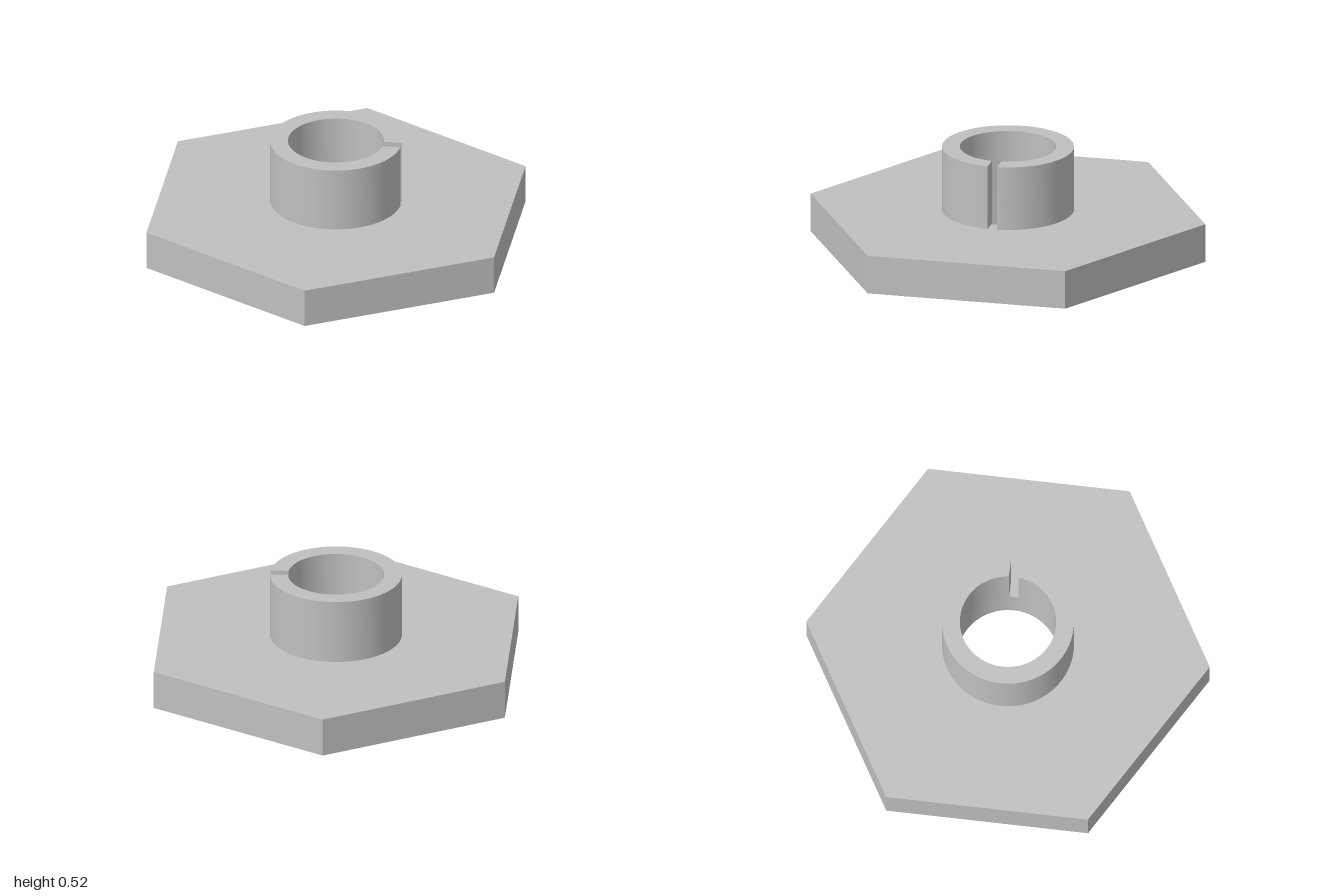
import * as THREE from 'three';
import { toCreasedNormals } from 'three/addons/utils/BufferGeometryUtils.js';

const PLATE_TOP = 0.195, COLLAR_TOP = 0.52;
const BORE = 0.237, OUTER = 0.325, PLATE_HOLE = 0.25, HALF_SLOT = 0.024;

// Extrudes a plan shape upwards from y0 to y1, smoothing only the curved walls
function extrudeUp(shape, y0, y1) {
  const geo = new THREE.ExtrudeGeometry(shape, { depth: y1 - y0, bevelEnabled: false, curveSegments: 64 });
  geo.rotateX(-Math.PI / 2);
  geo.translate(0, y0, 0);
  return toCreasedNormals(geo, Math.PI / 6);
}

export function createModel() {
  const group = new THREE.Group();
  group.name = 'hexFlangeBushing';
  const metal = new THREE.MeshStandardMaterial({ color: 0xc0c0c0 });
  metal.name = 'grey metal';

  // Hexagonal plate, corners towards front and back, with a round hole
  const hex = new THREE.Shape();
  for (let i = 0; i < 6; i++) {
    const a = Math.PI / 2 + (i * Math.PI) / 3;
    if (i === 0) hex.moveTo(Math.cos(a), Math.sin(a));
    else hex.lineTo(Math.cos(a), Math.sin(a));
  }
  hex.closePath();
  hex.holes.push(new THREE.Path().absarc(0, 0, PLATE_HOLE, 0, Math.PI * 2, true));
  const plate = new THREE.Mesh(extrudeUp(hex, 0, PLATE_TOP), metal);
  plate.name = 'hexPlate';

  // Split collar: a C-shaped ring with a parallel-sided slot on +x
  const ao = Math.asin(HALF_SLOT / OUTER), ai = Math.asin(HALF_SLOT / BORE);
  const ring = new THREE.Shape();
  ring.absarc(0, 0, OUTER, ao, Math.PI * 2 - ao, false);
  ring.absarc(0, 0, BORE, Math.PI * 2 - ai, ai, true);
  ring.closePath();
  const collar = new THREE.Mesh(extrudeUp(ring, PLATE_TOP, COLLAR_TOP), metal);
  collar.name = 'splitCollar';

  group.add(plate, collar);
  return group;
}
